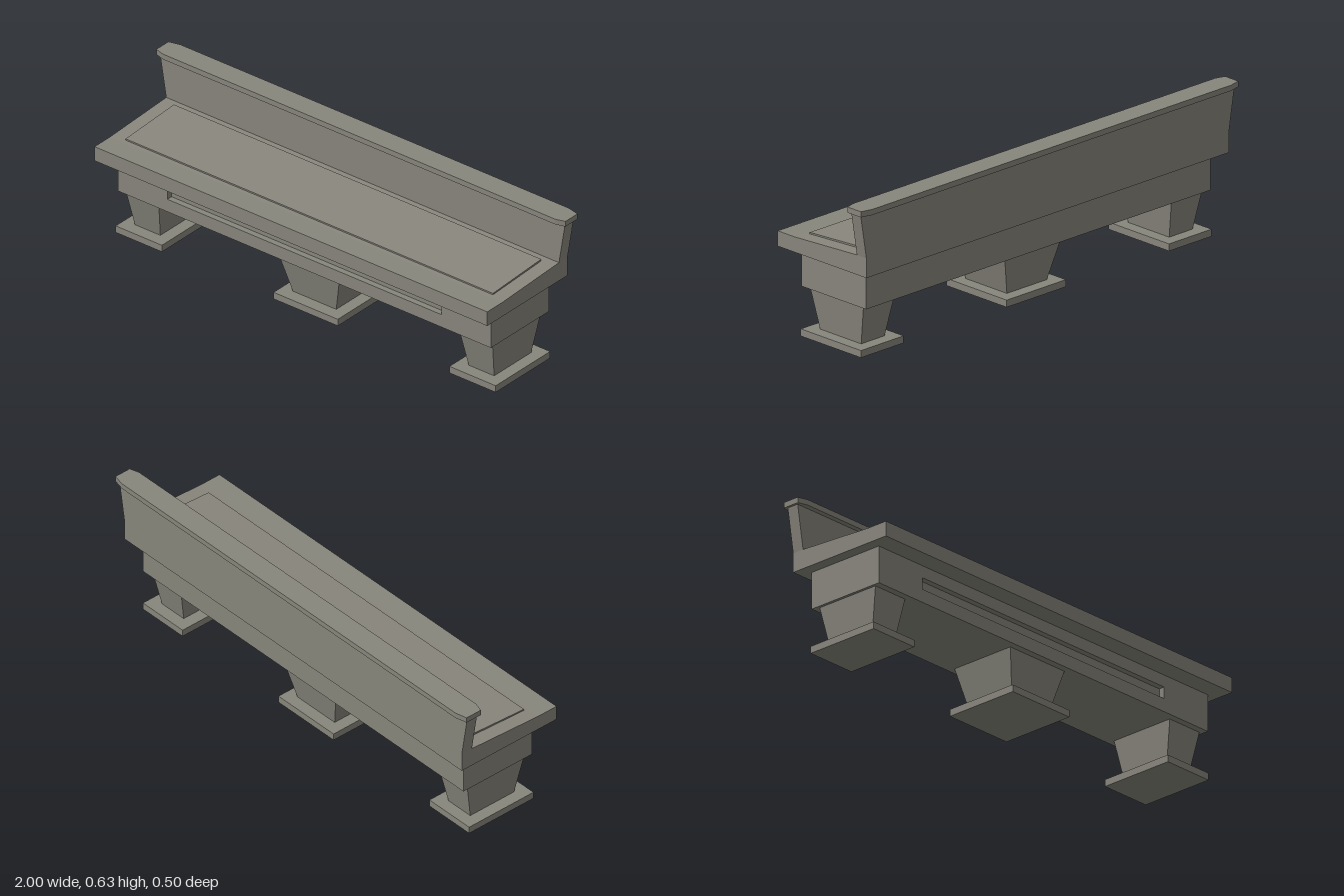
import * as THREE from 'three';

const stone = new THREE.MeshStandardMaterial({ color: 0x88867c });
stone.name = 'weathered stone';

function part(name, geometry, parent) {
  const mesh = new THREE.Mesh(geometry, stone);
  mesh.name = name;
  parent.add(mesh);
  return mesh;
}

// Block whose bottom and top rectangles [x0, x1, z0, z1] may differ
function block(y0, y1, bottom, top = bottom) {
  const g = new THREE.BoxGeometry(1, 1, 1).toNonIndexed();
  const p = g.attributes.position;
  for (let i = 0; i < p.count; i++) {
    const up = p.getY(i) > 0;
    const r = up ? top : bottom;
    p.setXYZ(i, p.getX(i) < 0 ? r[0] : r[1], up ? y1 : y0, p.getZ(i) < 0 ? r[2] : r[3]);
  }
  g.computeVertexNormals();
  return g;
}

const shapeOf = (points) => new THREE.Shape(points.map(([a, b]) => new THREE.Vector2(a, b)));

// Side profile of [z, y] points, extruded across the width
function acrossX(points, halfWidth) {
  const g = new THREE.ExtrudeGeometry(shapeOf(points), { depth: 2 * halfWidth, bevelEnabled: false });
  return g.translate(0, 0, -halfWidth).rotateY(-Math.PI / 2);
}

export function createModel() {
  const bench = new THREE.Group();
  bench.name = 'bench';

  // Three tapered legs on flat feet: centre, half widths of top, bottom and foot
  const legs = [
    ['rightLeg', -0.818, 0.082, 0.062, 0.113],
    ['middleLeg', -0.002, 0.15, 0.106, 0.157],
    ['leftLeg', 0.814, 0.082, 0.062, 0.113],
  ];
  for (const [name, x, top, bottom, foot] of legs) {
    const leg = new THREE.Group();
    leg.name = name;
    part('foot', block(0, 0.029, [x - foot, x + foot, -0.165, 0.161]), leg);
    part('taperedPost', block(0.029, 0.195, [x - bottom, x + bottom, -0.114, 0.108],
      [x - top, x + top, -0.147, 0.142]), leg);
    bench.add(leg);
  }

  // Apron with a long slot sunk into its front
  const depth = 0.025;
  part('apron', block(0.195, 0.348, [-0.912, 0.912, -0.177, 0.171 - depth]), bench);
  const face = shapeOf([[-0.912, 0.195], [0.912, 0.195], [0.912, 0.348], [-0.912, 0.348]]);
  face.holes.push(shapeOf([[-0.67, 0.25], [-0.67, 0.298], [0.67, 0.298], [0.67, 0.25]]));
  const front = new THREE.ExtrudeGeometry(face, { depth, bevelEnabled: false });
  part('slottedApronFront', front.translate(0, 0, 0.171 - depth), bench);

  // Seat slab rising gently towards the back
  part('seat', acrossX([[0.252, 0.348], [0.252, 0.41], [0.16, 0.41], [-0.177, 0.428],
    [-0.228, 0.428], [-0.228, 0.348]], 0.96), bench);

  // Thin raised panel lying on the slope
  part('seatPanel', acrossX([[0.142, 0.408], [0.142, 0.417], [-0.147, 0.434], [-0.147, 0.424]], 0.898), bench);

  // Backrest flaring outwards to its cap
  part('backrest', block(0.428, 0.607, [-0.96, 0.96, -0.228, -0.177], [-0.99, 0.99, -0.228, -0.177]), bench);

  // Cap rail with clipped corners
  const rail = shapeOf([[-0.96, 0.155], [-1, 0.167], [-1, 0.239], [-0.95, 0.251],
    [0.95, 0.251], [1, 0.239], [1, 0.167], [0.96, 0.155]]);
  const cap = new THREE.ExtrudeGeometry(rail, { depth: 0.023, bevelEnabled: false });
  part('capRail', cap.rotateX(-Math.PI / 2).translate(0, 0.607, 0), bench);

  return bench;
}
